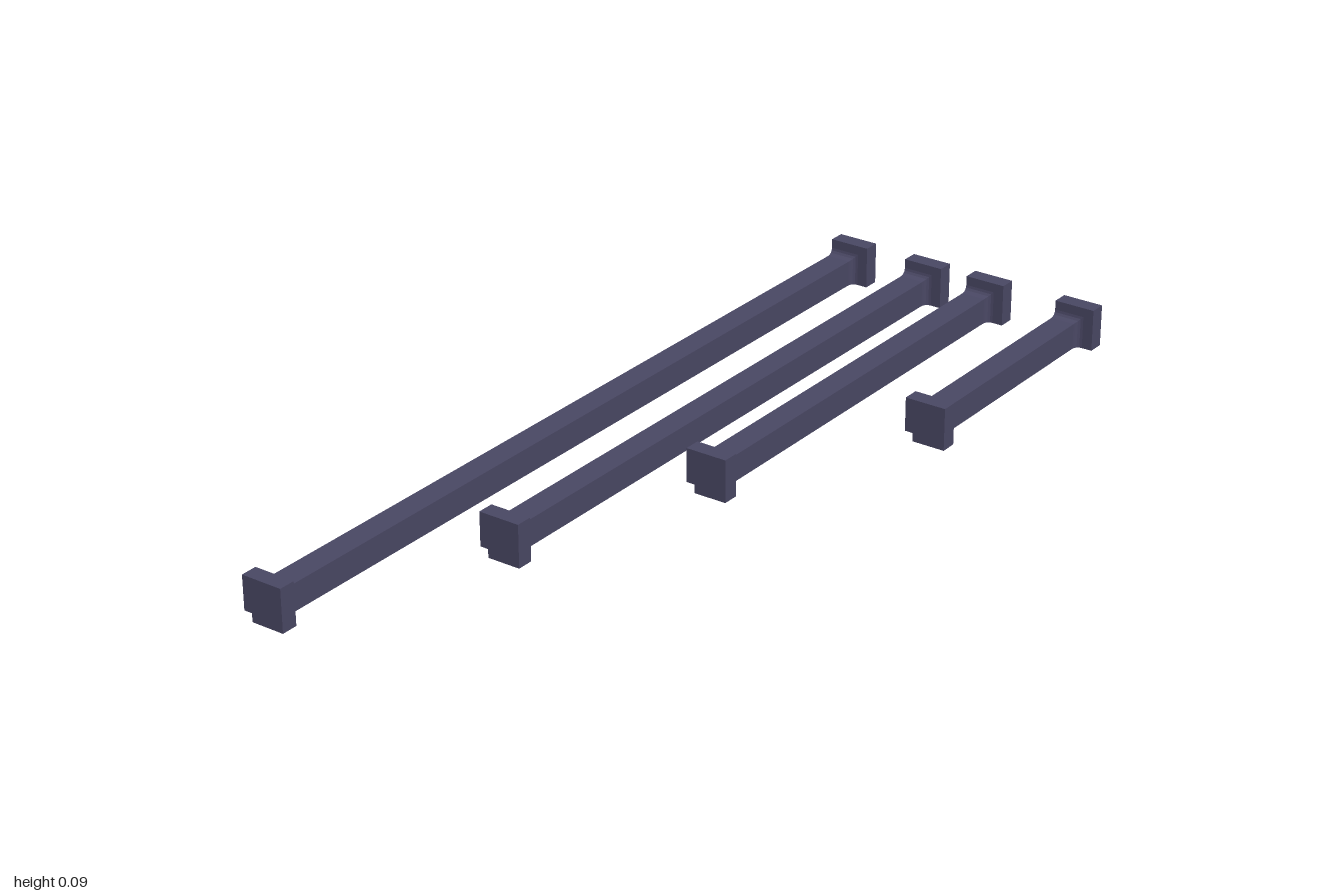
import * as THREE from 'three';

const BLOCK = 0.095, THICK = 0.037;   // end block size and depth
const BAR_W = 0.056, BAR_H = 0.059;   // bar section
const NOTCH = 0.019, FILLET = 0.015;

// Notched cross-section; w and h are the right and top limits
function section(w, h) {
  return [[NOTCH, 0], [w, 0], [w, h], [0, h], [0, NOTCH], [NOTCH, NOTCH]];
}

// Bar with an end block and a concave fillet at each end, lofted along z
function bracketGeometry(z0, z1) {
  const half = [[0, section(BLOCK, BLOCK)], [THICK, section(BLOCK, BLOCK)]];
  for (let i = 0; i <= 4; i++) {
    const a = (i / 4) * Math.PI / 2;
    const o = FILLET * (1 - Math.sin(a));
    half.push([THICK + FILLET * (1 - Math.cos(a)), section(BAR_W + o, BAR_H + o)]);
  }
  const loops = [
    ...half.map(([d, s]) => [z0 + d, s]),
    ...half.slice().reverse().map(([d, s]) => [z1 - d, s]),
  ].map(([z, s]) => s.map(([x, y]) => new THREE.Vector3(x, y, z)));

  const points = [];
  const tri = (a, b, c) => {
    if (new THREE.Triangle(a, b, c).getArea() > 1e-9) points.push(a, b, c);
  };
  // Side walls
  for (let i = 0; i < loops.length - 1; i++) {
    const p = loops[i], q = loops[i + 1];
    for (let j = 0; j < p.length; j++) {
      const k = (j + 1) % p.length;
      tri(p[j], p[k], q[k]);
      tri(p[j], q[k], q[j]);
    }
  }
  // End caps
  const back = loops[0], front = loops[loops.length - 1];
  const outline = front.map((v) => new THREE.Vector2(v.x, v.y));
  for (const [a, b, c] of THREE.ShapeUtils.triangulateShape(outline, [])) {
    tri(front[a], front[b], front[c]);
    tri(back[c], back[b], back[a]);
  }
  const geometry = new THREE.BufferGeometry().setFromPoints(points);
  geometry.computeVertexNormals();
  return geometry;
}

export function createModel() {
  const model = new THREE.Group();
  model.name = 'bracketSet';
  const material = new THREE.MeshStandardMaterial({ color: 0x4a4865, flatShading: true });

  // Four brackets, flush at the back, each shorter than the last
  const brackets = [
    ['longestBracket', -0.341, 1],
    ['longBracket', -0.144, 0.546],
    ['mediumBracket', 0.018, 0.092],
    ['shortBracket', 0.246, -0.36],
  ];
  for (const [name, x, zFront] of brackets) {
    const mesh = new THREE.Mesh(bracketGeometry(-1, zFront), material);
    mesh.name = name;
    mesh.position.x = x;
    model.add(mesh);
  }
  return model;
}
